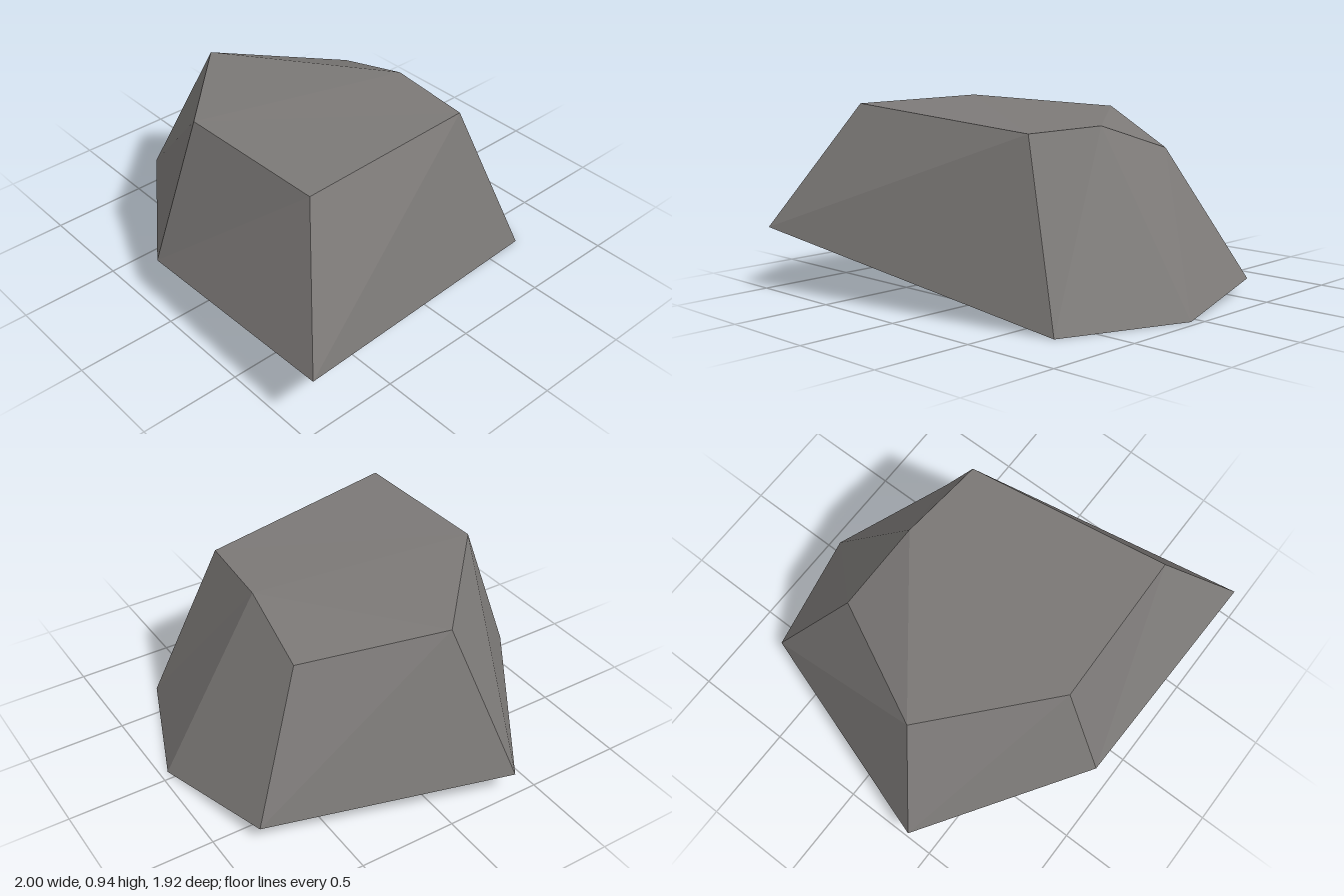
import * as THREE from 'three';

// Matching corner rings, counterclockwise seen from above
const base = [
  [-1, 0.13, 0.37], [-0.18, 0.23, 0.93], [1, 0.32, 0.96],
  [0.69, 0, -0.71], [0.05, 0, -0.96], [-0.61, 0.07, -0.81],
];
const crown = [
  [-0.70, 0.87, 0.17], [-0.15, 0.935, 0.68], [0.64, 0.935, 0.66],
  [0.52, 0.85, -0.39], [0.07, 0.857, -0.43], [-0.37, 0.72, -0.47],
];

function rockGeometry() {
  const positions = [];
  const quad = (a, b, c, d) => positions.push(...a, ...b, ...c, ...a, ...c, ...d);

  // Sloping sides
  base.forEach((p, i) => {
    const j = (i + 1) % base.length;
    quad(p, base[j], crown[j], crown[i]);
  });

  // Top and underside, each folded along the ridge from corner 1 to corner 4
  for (const [i, j, k, l] of [[0, 1, 4, 5], [1, 2, 3, 4]]) {
    quad(crown[i], crown[j], crown[k], crown[l]);
    quad(base[l], base[k], base[j], base[i]);
  }

  const geometry = new THREE.BufferGeometry();
  geometry.setAttribute('position', new THREE.Float32BufferAttribute(positions, 3));
  geometry.computeVertexNormals();
  return geometry;
}

export function createModel() {
  const stone = new THREE.MeshStandardMaterial({ color: 0x7c7977 });
  stone.name = 'stoneGrey';

  const rock = new THREE.Mesh(rockGeometry(), stone);
  rock.name = 'rock';

  const model = new THREE.Group();
  model.name = 'facetedRock';
  model.add(rock);
  return model;
}
